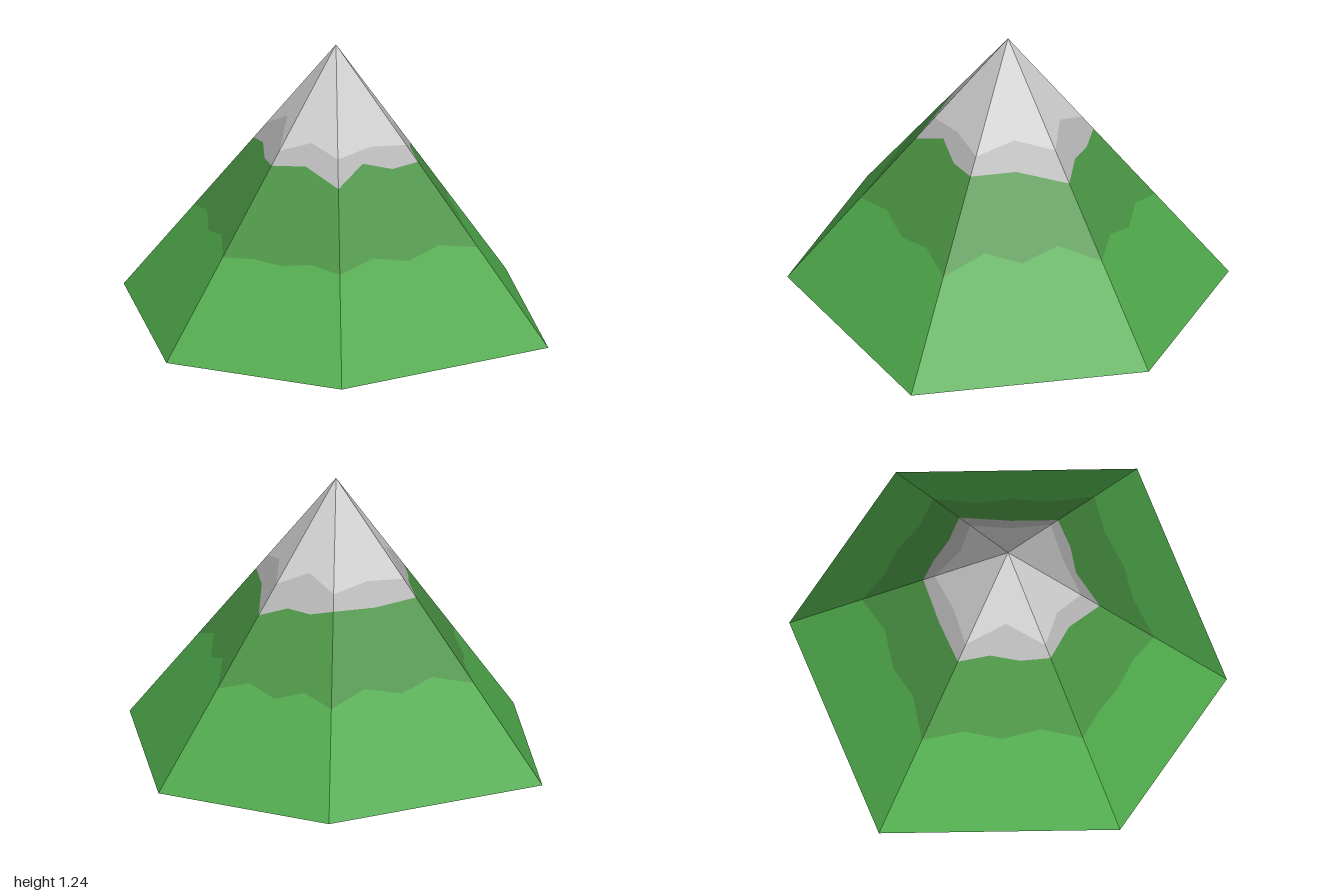
import * as THREE from 'three';
import { mergeGeometries } from 'three/addons/utils/BufferGeometryUtils.js';

const H = 1.235;
// Base corners, counter-clockwise seen from above; face i runs from corner i to i + 1
const corners = [[-0.413, 0.853], [0.413, 0.853], [1, 0], [0.413, -0.853], [-0.413, -0.853], [-1, 0]];

// Heights of the ragged colour borders, evenly spaced across each face
const base = corners.map(() => [0, 0]);
const meadowTop = [
  [0.41, 0.42, 0.41, 0.43, 0.41],
  [0.41, 0.445, 0.41, 0.445, 0.41],
  [0.41, 0.48, 0.43, 0.48, 0.41],
  [0.41, 0.45, 0.41, 0.45, 0.41],
  [0.41, 0.46, 0.42, 0.46, 0.41],
  [0.41, 0.445, 0.41, 0.45, 0.41],
];
const forestTop = [
  [0.765, 0.78, 0.717],
  [0.717, 0.79, 0.75, 0.757],
  [0.757, 0.757, 0.697],
  [0.697, 0.74, 0.733, 0.757],
  [0.757, 0.745, 0.755],
  [0.755, 0.78, 0.755, 0.765],
];
const rockTop = [
  [0.823, 0.868, 0.823],
  [0.823, 0.845, 0.826],
  [0.826, 0.87, 0.82],
  [0.82, 0.88, 0.82],
  [0.82, 0.845, 0.83],
  [0.83, 0.92, 0.823],
];
const peak = corners.map(() => [H]);

// One flat patch of a sloping face between two borders
function facePatch(i, lower, upper) {
  const [ax, az] = corners[i];
  const [bx, bz] = corners[(i + 1) % corners.length];
  const line = (ys) => ys.map((y, k) =>
    new THREE.Vector2((k / Math.max(1, ys.length - 1) - 0.5) * (1 - y / H), y));
  const top = upper.length === 1 ? [new THREE.Vector2(0, H)] : line(upper).reverse();
  const geometry = new THREE.ShapeGeometry(new THREE.Shape([...line(lower), ...top]));
  const p = geometry.attributes.position;
  for (let k = 0; k < p.count; k++) {
    const u = p.getX(k), y = p.getY(k), s = 1 - y / H;
    p.setXYZ(k, (ax + bx) / 2 * s + (bx - ax) * u, y, (az + bz) / 2 * s + (bz - az) * u);
  }
  geometry.computeVertexNormals();
  return geometry;
}

function band(name, color, lower, upper) {
  const geometry = mergeGeometries(corners.map((_, i) => facePatch(i, lower[i], upper[i])));
  const material = new THREE.MeshStandardMaterial({ color, flatShading: true, side: THREE.DoubleSide });
  const mesh = new THREE.Mesh(geometry, material);
  mesh.name = name;
  return mesh;
}

export function createModel() {
  const mountain = new THREE.Group();
  mountain.name = 'mountain';
  mountain.add(
    band('lowerMeadow', 0x4fab4b, base, meadowTop),
    band('upperForest', 0x4a9343, meadowTop, forestTop),
    band('rockBand', 0xb4b4b4, forestTop, rockTop),
    band('peak', 0xd2d2d2, rockTop, peak),
  );
  return mountain;
}
